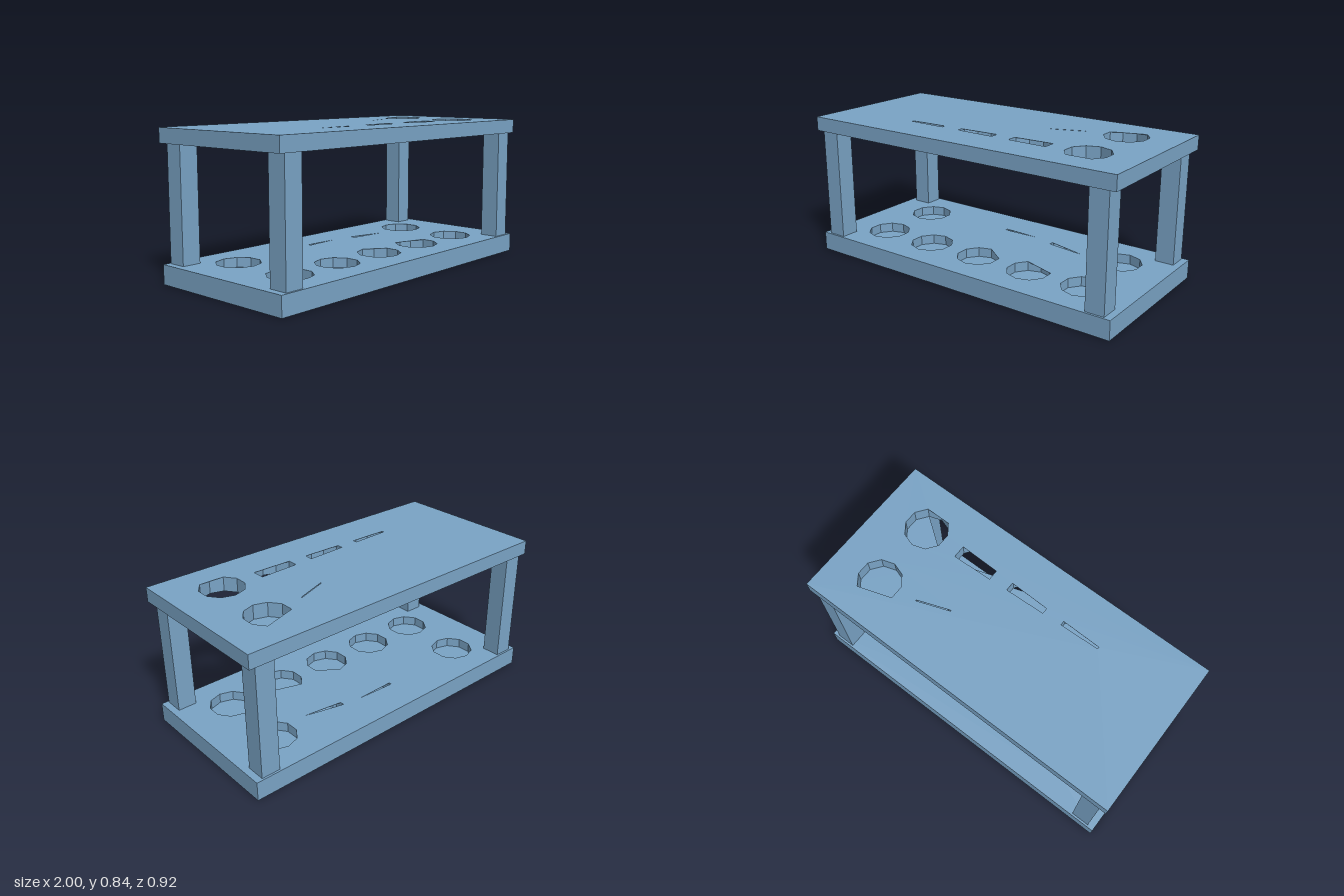
import * as THREE from 'three';

const R = 0.125;
const ALL = [0, 1, 2, 3, 4, 5, 6, 7, 8, 9];

// Ten-sided opening at (cx, cz), using only the listed corners
function ring(cx, cz, corners = ALL) {
  return corners.map((k) => {
    const a = (k / 10) * Math.PI * 2;
    return [cx + R * Math.sin(a), cz - R * Math.cos(a)];
  });
}

// Horizontal slab with openings cut straight through, from y0 to y1
function slab(y0, y1, openings) {
  const toPlane = ([x, z]) => new THREE.Vector2(x, -z);
  const outline = new THREE.Shape([[-1, 0.46], [1, 0.46], [1, -0.46], [-1, -0.46]].map(toPlane));
  for (const pts of openings) outline.holes.push(new THREE.Path(pts.map(toPlane)));
  const geo = new THREE.ExtrudeGeometry(outline, { depth: y1 - y0, bevelEnabled: false });
  geo.rotateX(-Math.PI / 2);
  geo.translate(0, y0, 0);
  return geo;
}

export function createModel() {
  const group = new THREE.Group();
  const steelBlue = new THREE.MeshStandardMaterial({ color: 0x7aa4c6 });
  steelBlue.name = 'steelBlue';

  function add(name, geo, x = 0, y = 0, z = 0) {
    const mesh = new THREE.Mesh(geo, steelBlue);
    mesh.name = name;
    mesh.position.set(x, y, z);
    group.add(mesh);
  }

  const skin = 0.002;
  const frontRow = [-0.7, -0.35, 0, 0.35, 0.7].map((x) => ring(x, 0.2));

  // Base: solid floor, full pits, and a thin skin that partly covers them
  const pitFloor = 0.055, baseTop = 0.11;
  add('baseFloor', new THREE.BoxGeometry(2, pitFloor, 0.92), 0, pitFloor / 2, 0);
  add('basePits', slab(pitFloor, baseTop - skin, [
    ...frontRow,
    ...[-0.7, 0, 0.35, 0.7].map((x) => ring(x, -0.2)),
  ]));
  add('baseSkin', slab(baseTop - skin, baseTop, [
    ring(-0.7, 0.2),
    ring(-0.35, 0.2),
    ring(0, 0.2, [0, 2, 3, 4, 5, 6, 7, 8, 9]),
    ring(0.35, 0.2, [2, 3, 4, 5, 6, 7, 8, 9]),
    ring(0.7, 0.2),
    ring(-0.7, -0.2),
    ring(0.7, -0.2),
    [[-0.118, -0.25], [0.11, -0.24], [-0.118, -0.235]],
    [[0.232, -0.225], [0.465, -0.168], [0.232, -0.2]],
  ]));

  // Top shelf: hollow wells between an upper and a lower skin
  const shelfBottom = 0.757, shelfTop = 0.84;
  add('shelfWells', slab(shelfBottom + skin, shelfTop - skin, [
    ...frontRow.slice(1),
    ring(0.35, -0.2),
    ring(0.7, -0.2),
  ]));
  add('shelfUpperSkin', slab(shelfTop - skin, shelfTop, [
    ring(0.7, 0.2, [0, 1, 2, 3, 4, 6, 7, 8, 9]),
    ring(0.7, -0.2, [1, 2, 3, 4, 5, 6, 7, 8]),
    [[0.232, 0.172], [0.468, 0.163], [0.468, 0.237], [0.232, 0.232]],
    [[-0.118, 0.188], [0.118, 0.178], [0.118, 0.228], [-0.118, 0.222]],
    [[-0.468, 0.202], [-0.235, 0.193], [-0.235, 0.218], [-0.468, 0.213]],
    [[0.28, -0.105], [0.467, -0.173], [0.467, -0.168], [0.28, -0.1]],
  ]));
  add('shelfLowerSkin', slab(shelfBottom, shelfBottom + skin, [
    ring(0.7, 0.2, [4, 5, 6, 7, 8]),
    ring(0.35, 0.2, [2, 3, 4, 5, 6, 7]),
    ring(0, 0.2, [3, 4, 5, 6]),
  ]));

  // Four corner posts
  const postHeight = shelfBottom - baseTop;
  const post = new THREE.BoxGeometry(0.11, postHeight, 0.11);
  for (const sx of [-1, 1]) {
    for (const sz of [-1, 1]) {
      const name = (sz > 0 ? 'front' : 'back') + (sx > 0 ? 'Left' : 'Right') + 'Post';
      add(name, post, sx * 0.905, baseTop + postHeight / 2, sz * 0.393);
    }
  }
  return group;
}
